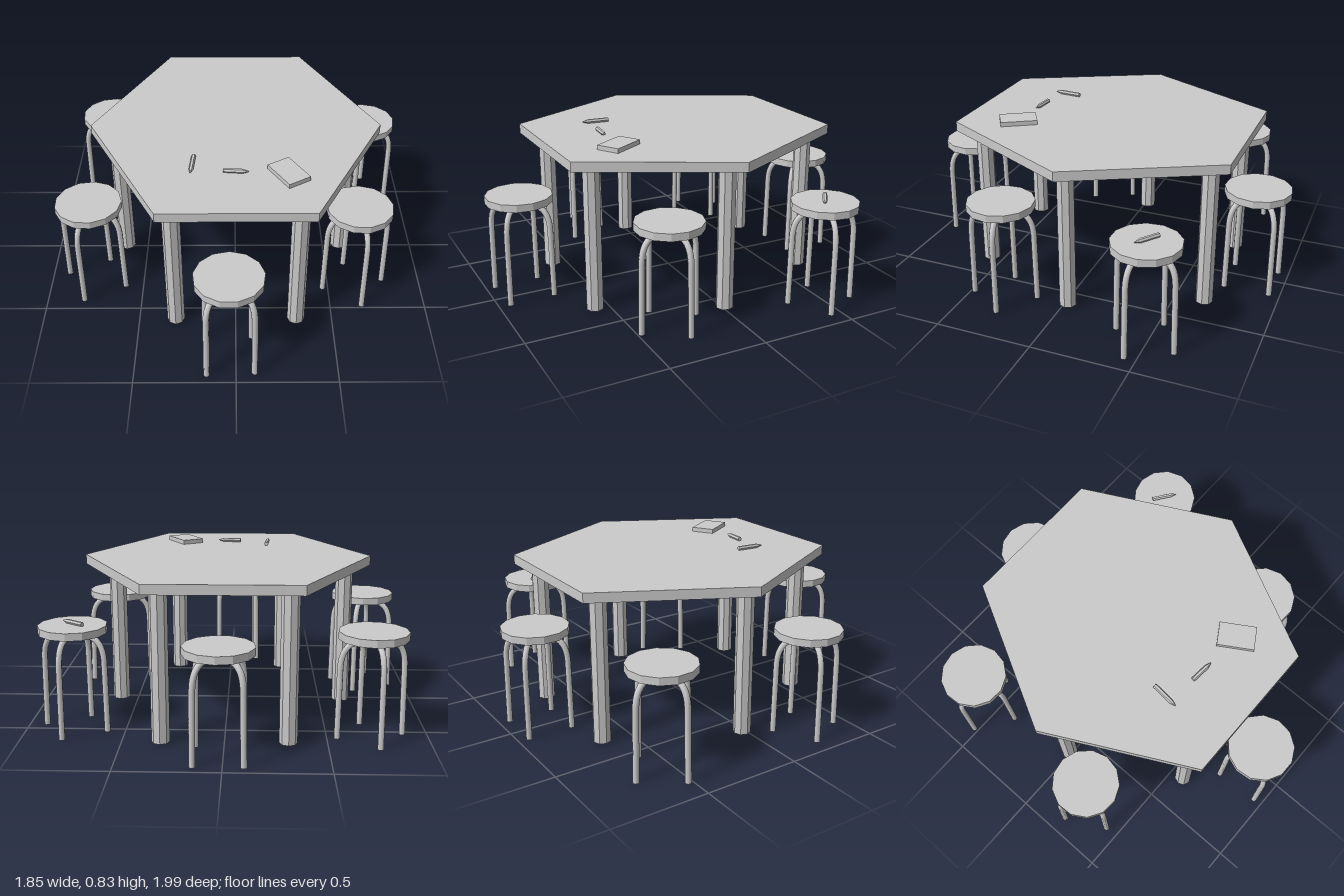
import * as THREE from 'three';

const smooth = new THREE.MeshStandardMaterial({ color: 0xcccccc });
const flat = new THREE.MeshStandardMaterial({ color: 0xcccccc, flatShading: true });

function add(parent, name, geometry, material, x = 0, y = 0, z = 0) {
  const mesh = new THREE.Mesh(geometry, material);
  mesh.name = name;
  mesh.position.set(x, y, z);
  parent.add(mesh);
  return mesh;
}

function createTable() {
  const table = new THREE.Group();
  table.name = 'table';
  // hexagonal top, corners pointing to the sides, a little deeper than regular
  const top = new THREE.CylinderGeometry(1, 1, 0.05, 6).rotateY(Math.PI / 2).scale(0.755, 1, 0.841);
  add(table, 'tableTop', top, flat, 0.003, 0.78, -0.031);
  // one column under each corner
  const leg = new THREE.CylinderGeometry(0.045, 0.045, 0.756, 8);
  const spots = [[-0.31, 0.571], [0.313, 0.571], [0.593, -0.016], [0.31, -0.649], [-0.31, -0.649], [-0.618, -0.016]];
  for (const [x, z] of spots) add(table, 'tableLeg', leg, flat, x, 0.378, z);
  return table;
}

// bent leg: runs out under the seat, then turns down to the floor
function stoolLegGeometry() {
  const path = new THREE.CurvePath();
  const v = (x, y) => new THREE.Vector3(x, y, 0);
  path.add(new THREE.LineCurve3(v(0, 0.488), v(0.06, 0.488)));
  path.add(new THREE.CubicBezierCurve3(v(0.06, 0.488), v(0.125, 0.488), v(0.16, 0.45), v(0.162, 0.36)));
  path.add(new THREE.LineCurve3(v(0.162, 0.36), v(0.167, 0)));
  return new THREE.TubeGeometry(path, 32, 0.0155, 8);
}

function createStool(seatGeo, legGeo, footGeo) {
  const stool = new THREE.Group();
  stool.name = 'stool';
  add(stool, 'seat', seatGeo, flat, 0, 0.521, 0);
  for (let i = 0; i < 4; i++) {
    const leg = new THREE.Group();
    leg.name = 'stoolLeg';
    leg.rotation.y = i * Math.PI / 2;
    add(leg, 'bentTube', legGeo, smooth);
    add(leg, 'footCap', footGeo, smooth, 0.167, 0.0005, 0);
    stool.add(leg);
  }
  return stool;
}

// pencil lying along +x with its tip at the +x end
function createPencil(length) {
  const pencil = new THREE.Group();
  pencil.name = 'pencil';
  const r = 0.0115, tip = 0.03, body = length - tip;
  add(pencil, 'pencilBody', new THREE.CylinderGeometry(r, r, body, 6).rotateZ(-Math.PI / 2), flat, -tip / 2);
  add(pencil, 'pencilTip', new THREE.CylinderGeometry(0.002, r, tip, 6).rotateZ(-Math.PI / 2), flat, body / 2);
  return pencil;
}

export function createModel() {
  const model = new THREE.Group();
  model.name = 'tableWithStools';
  model.add(createTable());

  // six stools: x, z, turn in degrees
  const seatGeo = new THREE.CylinderGeometry(0.171, 0.171, 0.038, 13);
  const legGeo = stoolLegGeometry();
  const footGeo = new THREE.CircleGeometry(0.0155, 8).rotateX(Math.PI / 2);
  const stools = [
    [0.02, -0.826, -45], [-0.714, -0.555, 11], [0.751, -0.484, -15],
    [-0.754, 0.275, -18], [0.635, 0.317, 11], [-0.032, 0.828, -42],
  ];
  for (const [x, z, turn] of stools) {
    const stool = createStool(seatGeo, legGeo, footGeo);
    stool.position.set(x, 0, z);
    stool.rotation.y = THREE.MathUtils.degToRad(turn);
    model.add(stool);
  }

  // book on the table
  const book = add(model, 'book', new THREE.BoxGeometry(0.123, 0.024, 0.188), flat, 0.257, 0.816, 0.4);
  book.rotation.y = 0.55;

  // two pencils on the table, one on a stool: x, y, z, length, turn in degrees
  const pencils = [
    [-0.212, 0.816, 0.329, 0.143, -95],
    [0.003, 0.816, 0.385, 0.125, -5],
    [0.749, 0.551, -0.484, 0.135, -36],
  ];
  for (const [x, y, z, length, turn] of pencils) {
    const pencil = createPencil(length);
    pencil.position.set(x, y, z);
    pencil.rotation.y = THREE.MathUtils.degToRad(turn);
    model.add(pencil);
  }
  return model;
}
